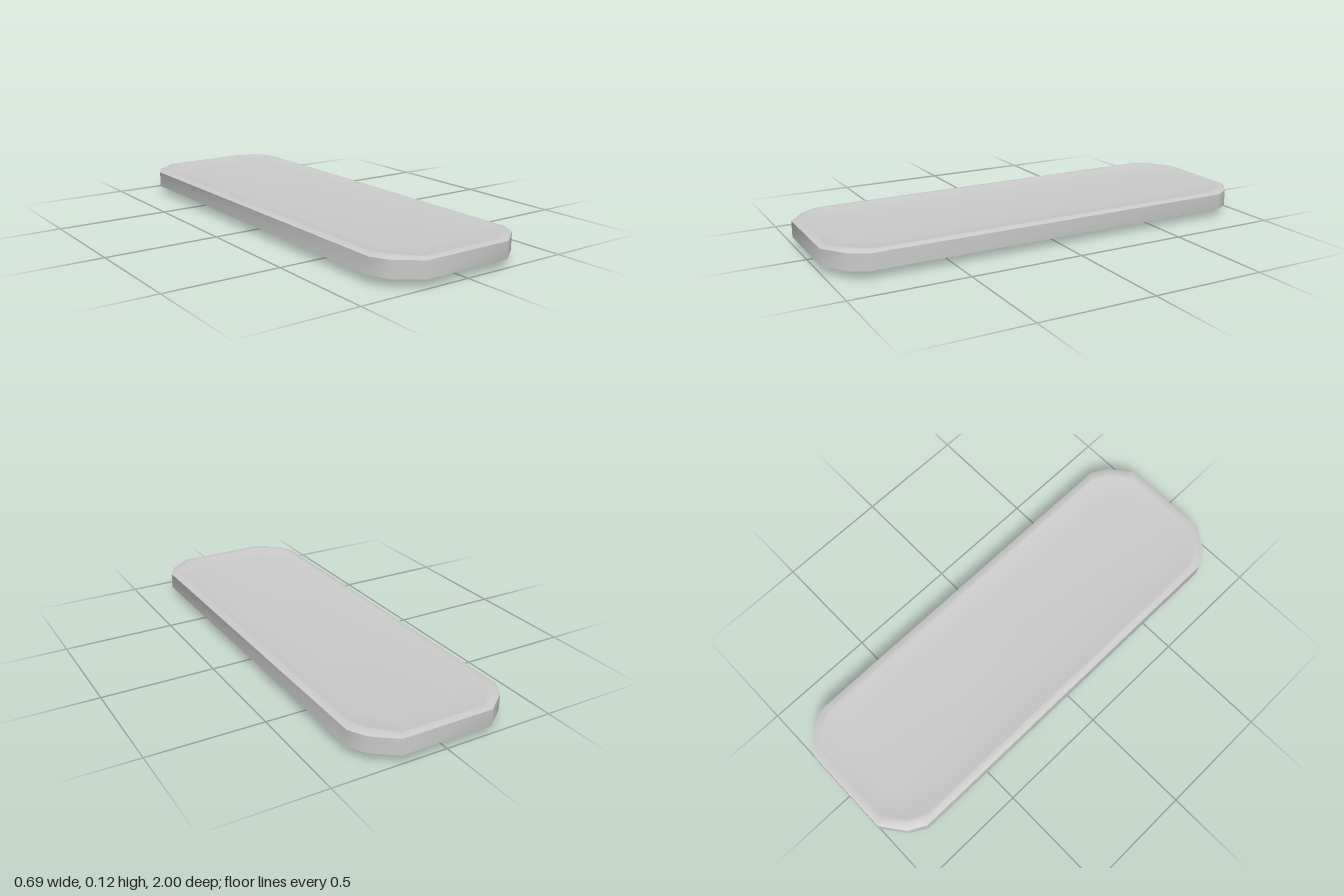
import * as THREE from 'three';
import { toCreasedNormals } from 'three/addons/utils/BufferGeometryUtils.js';

// One corner of the plan outline, from the front edge round to the side
const corner = [[0.205, 1], [0.305, 0.925], [0.347, 0.85]];
const back = corner.map(([x, z]) => [x, -z]).reverse();
const half = [...corner, ...back];
const outline = [...half, ...half.map(([x, z]) => [-x, z]).reverse()];

// Extra height of the raised rim at each corner point
const cornerLift = [0, 0.005, 0.002];
const lifts = [...cornerLift, ...[...cornerLift].reverse()];
const liftAll = [...lifts, ...[...lifts].reverse()];

// The outline drawn in by dx and dz, at height y
function ring(y, dx = 0, dz = dx, lift = 0) {
  return outline.map(([x, z], i) => new THREE.Vector3(
    x * (1 - dx / 0.347), y + lift * liftAll[i], z * (1 - dz)));
}
const point = (y) => ring(y, 0.347, 1);

// Skin a stack of rings, listed from the bottom outward and up
function skin(name, rings, material) {
  const pos = [];
  const tri = (...v) => v.forEach((p) => pos.push(p.x, p.y, p.z));
  for (let r = 0; r < rings.length - 1; r++) {
    const a = rings[r], b = rings[r + 1];
    a.forEach((p, i) => {
      const j = (i + 1) % a.length;
      if (p.distanceTo(a[j]) > 1e-6) tri(p, a[j], b[j]);
      if (b[i].distanceTo(b[j]) > 1e-6) tri(p, b[j], b[i]);
    });
  }
  const geometry = new THREE.BufferGeometry();
  geometry.setAttribute('position', new THREE.Float32BufferAttribute(pos, 3));
  const mesh = new THREE.Mesh(toCreasedNormals(geometry, 0.7), material);
  mesh.name = name;
  return mesh;
}

export function createModel() {
  const group = new THREE.Group();
  group.name = 'tray';
  const material = new THREE.MeshStandardMaterial({ color: 0xcccccc });

  const foot = ring(0, 0.092, 0.11);
  const lower = ring(0.036);
  const upper = ring(0.108);
  const crest = ring(0.114, 0.022, 0.022, 1);
  const inner = ring(0.113, 0.035, 0.035, 1);

  group.add(
    skin('underside', [point(0), foot], material),
    skin('lowerChamfer', [foot, lower], material),
    skin('sideWall', [lower, upper], material),
    skin('rim', [upper, crest, inner], material),
    // Shallow hollow that eases up to the rim
    skin('dishedTop', [inner, ring(0.107, 0.07, 0.08, 0.4), ring(0.103, 0.12, 0.16), point(0.102)], material),
  );
  return group;
}
